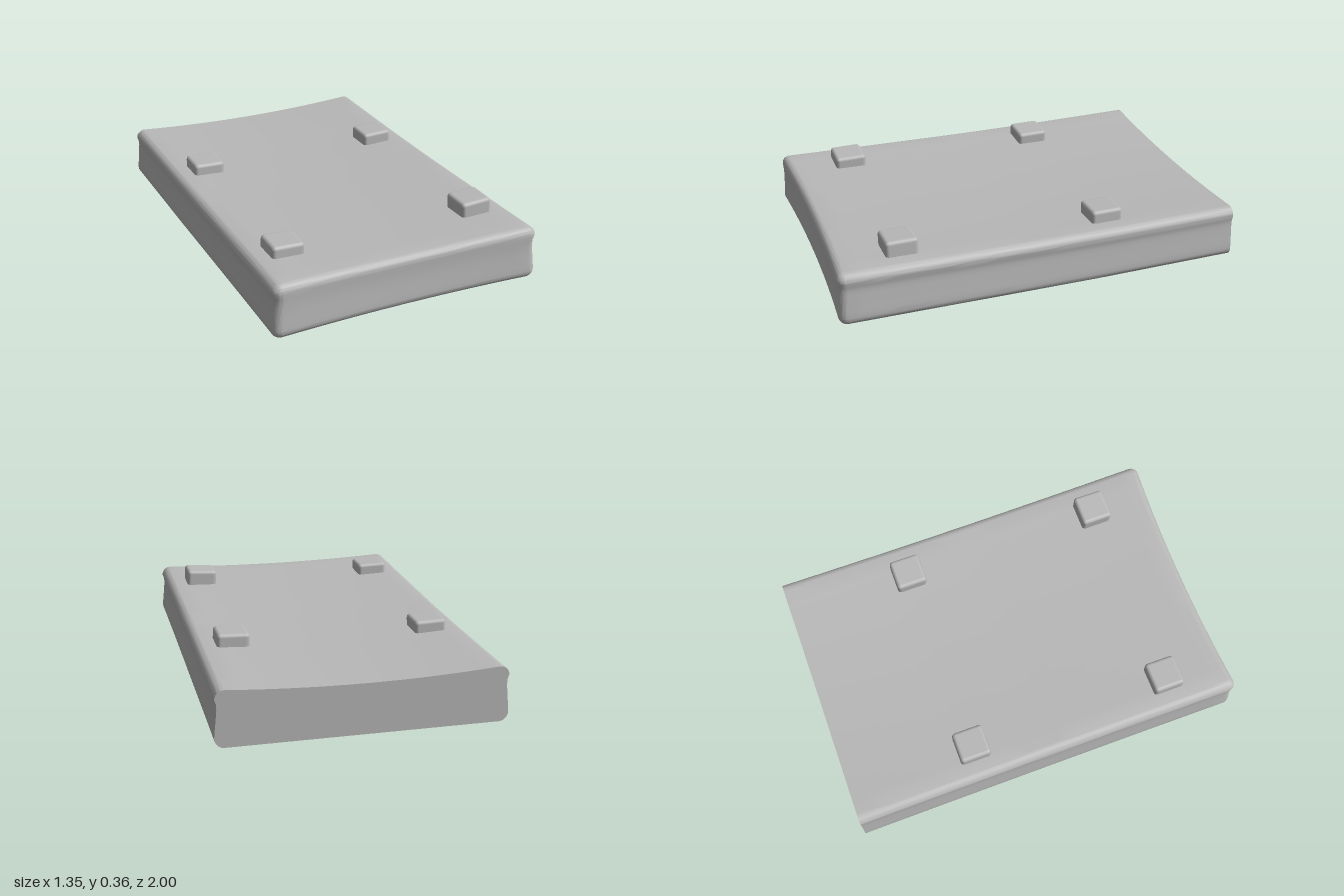
import * as THREE from 'three';
import { mergeVertices, toCreasedNormals } from 'three/addons/utils/BufferGeometryUtils.js';
import { RoundedBoxGeometry } from 'three/addons/geometries/RoundedBoxGeometry.js';

const lerp = THREE.MathUtils.lerp;
const R = 0.045; // edge radius

// piecewise-linear curve through [position, value] pairs in ascending order
function curve(points, t) {
  if (t <= points[0][0]) return points[0][1];
  for (let i = 1; i < points.length; i++) {
    const [a, va] = points[i - 1], [b, vb] = points[i];
    if (t <= b) return lerp(va, vb, (t - a) / (b - a));
  }
  return points[points.length - 1][1];
}

// grid positions along one axis, finer where the edges are rounded
function stations(half, inner, roundStart = true) {
  const steps = 5, list = [];
  for (let i = 0; i < steps && roundStart; i++) list.push(-half + R - R * Math.tan(Math.PI / 4 * (1 - i / steps)));
  const start = roundStart ? -half + R : -half;
  for (let i = 0; i <= inner; i++) list.push(lerp(start, half - R, i / inner));
  for (let i = 1; i <= steps; i++) list.push(half - R + R * Math.tan(Math.PI / 4 * i / steps));
  return list;
}

const topY = [[-1, 0.275], [-0.4, 0.275], [0, 0.279], [0.5, 0.289], [1, 0.3]];
const bottomY = [[-1, 0.005], [-0.3, 0.005], [0.2, 0.013], [1, 0.03]];
const sideX = [[0, 1], [0.2, 1], [0.45, 0.989], [0.72, 0.979], [0.84, 0.994], [1, 0.99]];

// soft slab: rounded on the sides and front, cut flat at the back
function slabGeometry() {
  const W = 0.675, H = 0.135;
  const xs = stations(W, 16), ys = stations(H, 8), zs = stations(1, 24, false);
  const n = [xs, ys, zs].map((s) => s.length - 1);
  let geo = new THREE.BoxGeometry(...n, ...n);
  const p = geo.attributes.position;
  const v = new THREE.Vector3(), core = new THREE.Vector3(), d = new THREE.Vector3();
  for (let i = 0; i < p.count; i++) {
    v.fromBufferAttribute(p, i);
    v.set(xs[Math.round(v.x + n[0] / 2)], ys[Math.round(v.y + n[1] / 2)], zs[Math.round(v.z + n[2] / 2)]);
    core.set(
      THREE.MathUtils.clamp(v.x, -W + R, W - R),
      THREE.MathUtils.clamp(v.y, -H + R, H - R),
      Math.min(v.z, 1 - R));
    d.subVectors(v, core);
    const reach = Math.max(Math.abs(d.x), Math.abs(d.y), Math.abs(d.z));
    // pull points in the rounded zone onto the fillet
    if (reach > 1e-6) v.copy(core).addScaledVector(d, reach / d.length());

    // sagging top, rising front, pinched sides and hollow front
    const u = v.x / W, t = (v.y + H) / (2 * H), z = v.z;
    const sag = lerp(0.028, 0.012, (z + 1) / 2) * (1 - u * u);
    const y = lerp(curve(bottomY, z), curve(topY, z) - sag, t);
    const x = v.x * curve(sideX, t) * (1 - 0.006 * (1 - z * z));
    const front = THREE.MathUtils.smoothstep(z, 0.6, 1);
    const hollow = 0.024 * (1 - u * u) + 0.012 * Math.sin(Math.PI * t) * t;
    p.setXYZ(i, x, y, z - front * hollow);
  }
  geo.deleteAttribute('normal');
  geo.deleteAttribute('uv');
  geo.clearGroups();
  geo = mergeVertices(geo, 1e-5);
  return toCreasedNormals(geo, 0.7);
}

export function createModel() {
  const group = new THREE.Group();
  const grey = new THREE.MeshStandardMaterial({ color: 0xb8b8b8 });
  grey.name = 'grey';

  const slab = new THREE.Mesh(slabGeometry(), grey);
  slab.name = 'slab';
  group.add(slab);

  // four small blocks leaning with the sagging top: x, z, top height, lean
  const blockGeo = new RoundedBoxGeometry(0.157, 0.14, 0.157, 3, 0.018);
  const blocks = [
    ['frontLeftBlock', 0.49, 0.665, 0.36, 0.06],
    ['frontRightBlock', -0.492, 0.665, 0.342, -0.03],
    ['backLeftBlock', 0.49, -0.362, 0.327, 0.04],
    ['backRightBlock', -0.492, -0.362, 0.322, -0.03],
  ];
  for (const [name, x, z, top, lean] of blocks) {
    const block = new THREE.Mesh(blockGeo, grey);
    block.name = name;
    block.position.set(x, top - 0.07, z);
    block.rotation.z = lean;
    group.add(block);
  }
  return group;
}
